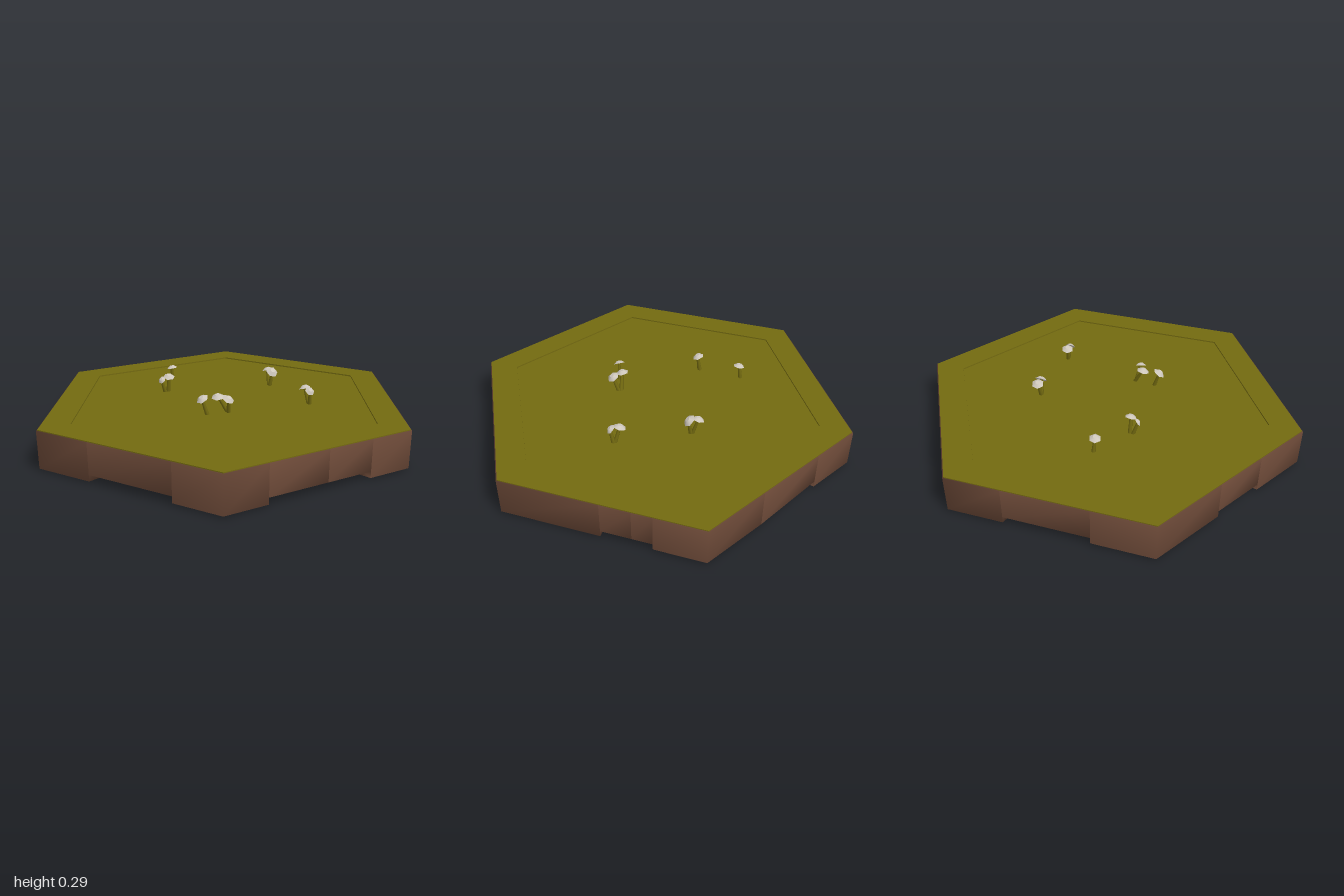
import * as THREE from 'three';

const olive = new THREE.MeshStandardMaterial({ name: 'mossOlive', color: 0x736a10 });
const brown = new THREE.MeshStandardMaterial({ name: 'earthBrown', color: 0x704c3a });
const pale = new THREE.MeshStandardMaterial({ name: 'capPale', color: 0xcfc8bd });

// Hexagon corner k as [x, z]; corners lie on the x axis, depth is slightly short.
const corner = (k, r) => [r * Math.cos(k * Math.PI / 3), 0.989 * r * Math.sin(k * Math.PI / 3)];
const hexagon = (r) => [0, 1, 2, 3, 4, 5].map((k) => corner(k, r));

// Hexagonal prism between two heights, optionally with a hexagonal hole.
function hexPrism(name, radius, y0, y1, material, holeRadius) {
  const path = (r) => hexagon(r).map(([x, z]) => new THREE.Vector2(x, -z)).reverse();
  const shape = new THREE.Shape(path(radius));
  if (holeRadius) shape.holes.push(new THREE.Path(path(holeRadius)));
  const geo = new THREE.ExtrudeGeometry(shape, { depth: y1 - y0, bevelEnabled: false });
  geo.rotateX(-Math.PI / 2).translate(0, y0, 0);
  const mesh = new THREE.Mesh(geo, material);
  mesh.name = name;
  return mesh;
}

// Earth body: one cross-section swept round the hexagon, with notches in its
// lower edge, closed underneath by a raised floor.
function earthBody() {
  const low = 0.008;
  const high = 0.04;
  // Per side: notch start, end of the part cut right through, notch end, height at its end
  const notches = [
    [0.25, 0.35, 0.5, high], [0.23, 0.47, 0.78, high], [0.25, 0.25, 0.7, high],
    [0.32, 0.32, 0.6, high], [0.3, 0.3, 0.72, high], [0.27, 0.27, 0.65, low],
  ];
  // Stations: side, position along it, outer and inner height of the lower edge
  const stations = notches.flatMap(([t0, t, t1, end], k) => [
    [k, 0, low, low], [k, t0, low, low], [k, t0, high, high], [k, t, high, high],
    [k, t, high, low], [k, t1, end, low], [k, t1, low, low],
  ]);
  const positions = [];
  const index = [];
  let rows = 0;
  stations.forEach(([k, t, outerY, innerY], s) => {
    const profile = [
      [0.98, 0.197], [1, 0.195], [0.998, outerY], [0.93, outerY], [0.92, innerY],
      [0.875, innerY], [0.835, 0.1], [0.78, 0.1], [0, 0.1],
    ];
    rows = profile.length;
    const [a, b] = [corner(k, 1), corner(k + 1, 1)];
    const x = a[0] + (b[0] - a[0]) * t;
    const z = a[1] + (b[1] - a[1]) * t;
    const next = (s + 1) % stations.length;
    profile.forEach(([r, y], j) => {
      positions.push(x * r, y, z * r);
      if (j === rows - 1) return;
      const p = s * rows + j;
      const q = next * rows + j;
      index.push(p, q, q + 1, p, q + 1, p + 1);
    });
  });
  const geo = new THREE.BufferGeometry();
  geo.setAttribute('position', new THREE.Float32BufferAttribute(positions, 3));
  geo.setIndex(index);
  geo.computeVertexNormals();
  const mesh = new THREE.Mesh(geo, brown);
  mesh.name = 'earthBody';
  return mesh;
}

// Mushroom: leaning stem with a thin, tilted cap.
function mushroom([cx, cy, cz, bx, bz, tiltX, tiltZ, r]) {
  const group = new THREE.Group();
  group.name = 'mushroom';
  const base = new THREE.Vector3(bx, 0.185, bz);
  const top = new THREE.Vector3(cx, cy, cz);
  const dir = top.clone().sub(base);
  const stem = new THREE.Mesh(new THREE.CylinderGeometry(0.007, 0.011, dir.length(), 6), olive);
  stem.name = 'stem';
  stem.position.copy(base).add(top).multiplyScalar(0.5);
  stem.quaternion.setFromUnitVectors(new THREE.Vector3(0, 1, 0), dir.normalize());
  const cap = new THREE.Mesh(new THREE.CylinderGeometry(r * 0.4, r, r * 0.45, 6), pale);
  cap.name = 'cap';
  cap.position.copy(top);
  cap.rotation.set(tiltX, 0.3, tiltZ);
  group.add(stem, cap);
  return group;
}

export function createModel() {
  const model = new THREE.Group();
  model.name = 'hexTile';

  // Earth with a moss rim and a slightly sunken moss field
  model.add(earthBody());
  model.add(hexPrism('mossRim', 0.994, 0.185, 0.2, olive, 0.835));
  model.add(hexPrism('mossField', 0.836, 0.18, 0.193, olive));

  // Ring of six rounded pegs hanging from the floor
  const pegProfile = [[0, 0], [0.022, 0.003], [0.032, 0.014], [0.035, 0.028], [0.035, 0.105]]
    .map(([x, y]) => new THREE.Vector2(x, y));
  for (let k = 0; k < 6; k++) {
    const a = (18 + 60 * k) * Math.PI / 180;
    const peg = new THREE.Mesh(new THREE.LatheGeometry(pegProfile, 12), olive);
    peg.name = 'peg';
    peg.position.set(0.21 * Math.cos(a), 0, 0.21 * Math.sin(a));
    model.add(peg);
  }

  // Cap centre, stem foot, cap tilt about x and z, cap radius
  const mushrooms = [
    [-0.085, 0.27, -0.45, -0.08, -0.46, -0.2, 0.1, 0.03],
    [-0.2, 0.283, -0.25, -0.2, -0.265, 0.3, 0.1, 0.031],
    [-0.24, 0.265, -0.26, -0.215, -0.265, 0.1, 0.9, 0.022],
    [0.34, 0.28, -0.12, 0.335, -0.09, -0.35, 0.1, 0.032],
    [0.34, 0.278, -0.068, 0.335, -0.085, 0.75, 0, 0.034],
    [0.32, 0.278, 0.26, 0.33, 0.29, -0.3, 0.1, 0.032],
    [0.32, 0.27, 0.31, 0.33, 0.295, 0.8, 0, 0.026],
    [-0.23, 0.28, 0.175, -0.2, 0.18, -0.1, 0.6, 0.032],
    [-0.14, 0.278, 0.175, -0.09, 0.19, 0.1, 0.2, 0.034],
    [-0.11, 0.275, 0.23, -0.095, 0.2, 0.6, -0.2, 0.032],
  ];
  mushrooms.forEach((m) => model.add(mushroom(m)));
  return model;
}
